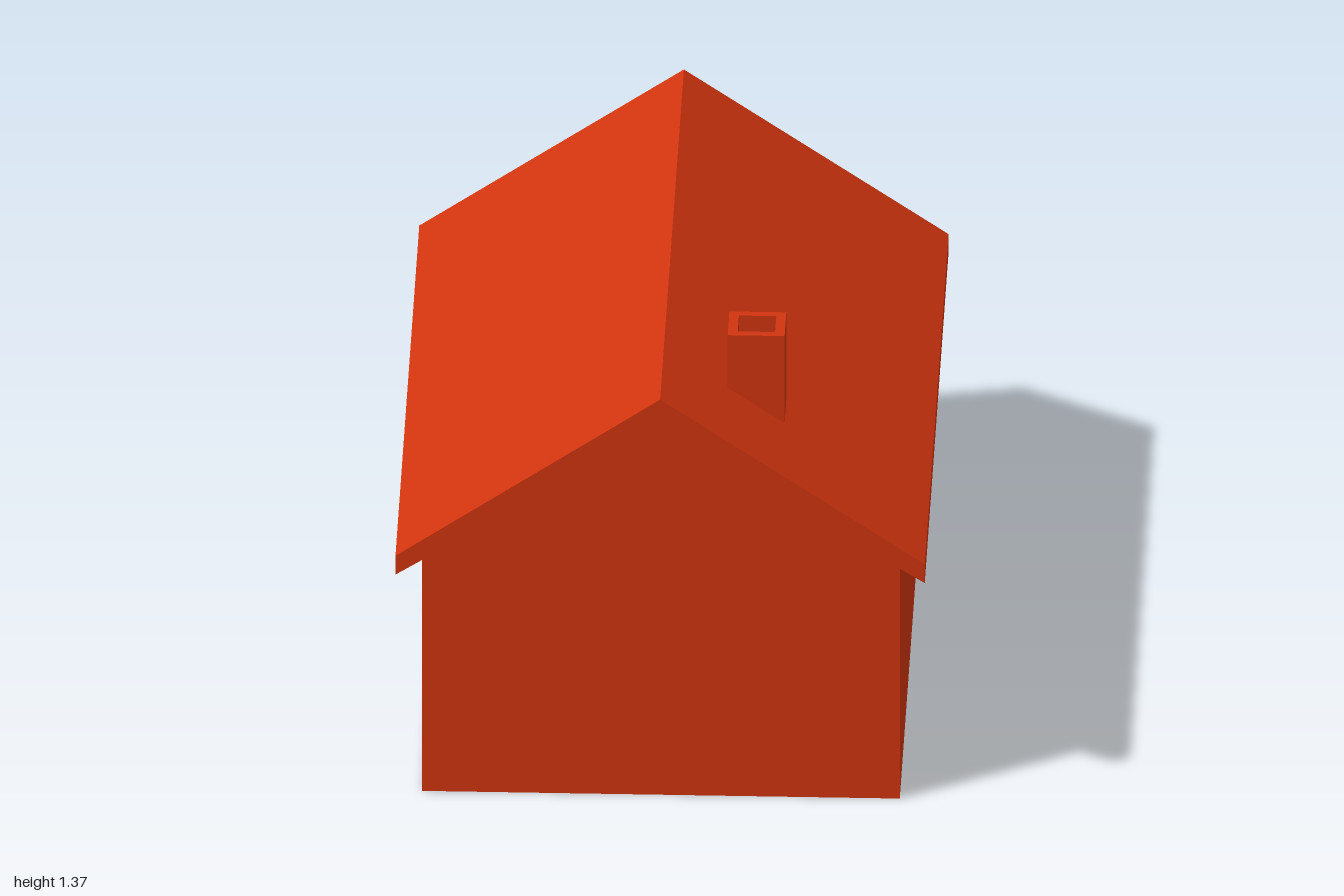
import * as THREE from 'three';

const material = new THREE.MeshStandardMaterial({ color: 0xd0340f, flatShading: true });

// Closed outline from [x, y] points
function outline(points, Type = THREE.Shape) {
  return new Type(points.map(([x, y]) => new THREE.Vector2(x, y)));
}

// Outline extruded along z, centred on z = 0
function extrude(name, shape, depth) {
  const geometry = new THREE.ExtrudeGeometry(shape, { depth, bevelEnabled: false });
  geometry.translate(0, 0, -depth / 2);
  const mesh = new THREE.Mesh(geometry, material);
  mesh.name = name;
  return mesh;
}

const rect = (w, h) => [[-w / 2, -h / 2], [w / 2, -h / 2], [w / 2, h / 2], [-w / 2, h / 2]];

export function createModel() {
  const house = new THREE.Group();
  house.name = 'house';

  // Walls with gable ends, reaching up to the underside of the roof
  const walls = outline([[-0.684, 0], [0.684, 0], [0.684, 0.787], [0, 1.224], [-0.684, 0.787]]);
  house.add(extrude('walls', walls, 1.856));

  // Pitched roof slab overhanging on all sides
  const roof = outline([
    [-0.758, 0.74], [0, 1.225], [0.758, 0.74],
    [0.758, 0.801], [0, 1.322], [-0.758, 0.801],
  ]);
  house.add(extrude('roof', roof, 2));

  // Chimney: hollow shaft and a floor inside the flue
  const chimney = new THREE.Group();
  chimney.name = 'chimney';
  const shaftShape = outline(rect(0.163, 0.144));
  shaftShape.holes.push(outline(rect(0.107, 0.096), THREE.Path));
  const shaft = extrude('chimneyShaft', shaftShape, 0.317);
  shaft.rotation.x = -Math.PI / 2;
  shaft.position.y = 1.2085;
  const floor = new THREE.Mesh(new THREE.BoxGeometry(0.107, 0.21, 0.096), material);
  floor.name = 'flueFloor';
  floor.position.y = 1.16;
  chimney.add(shaft, floor);
  chimney.position.set(0.2645, 0, 0.615);
  house.add(chimney);

  // Door frame on the right wall: two posts and a lintel
  const frame = outline([
    [-0.165, 0], [-0.11, 0], [-0.11, 0.445], [0.11, 0.445],
    [0.11, 0], [0.165, 0], [0.165, 0.5], [-0.165, 0.5],
  ]);
  const doorFrame = extrude('doorFrame', frame, 0.03);
  doorFrame.rotation.y = -Math.PI / 2;
  doorFrame.position.set(-0.69, 0, -0.335);
  house.add(doorFrame);

  return house;
}
